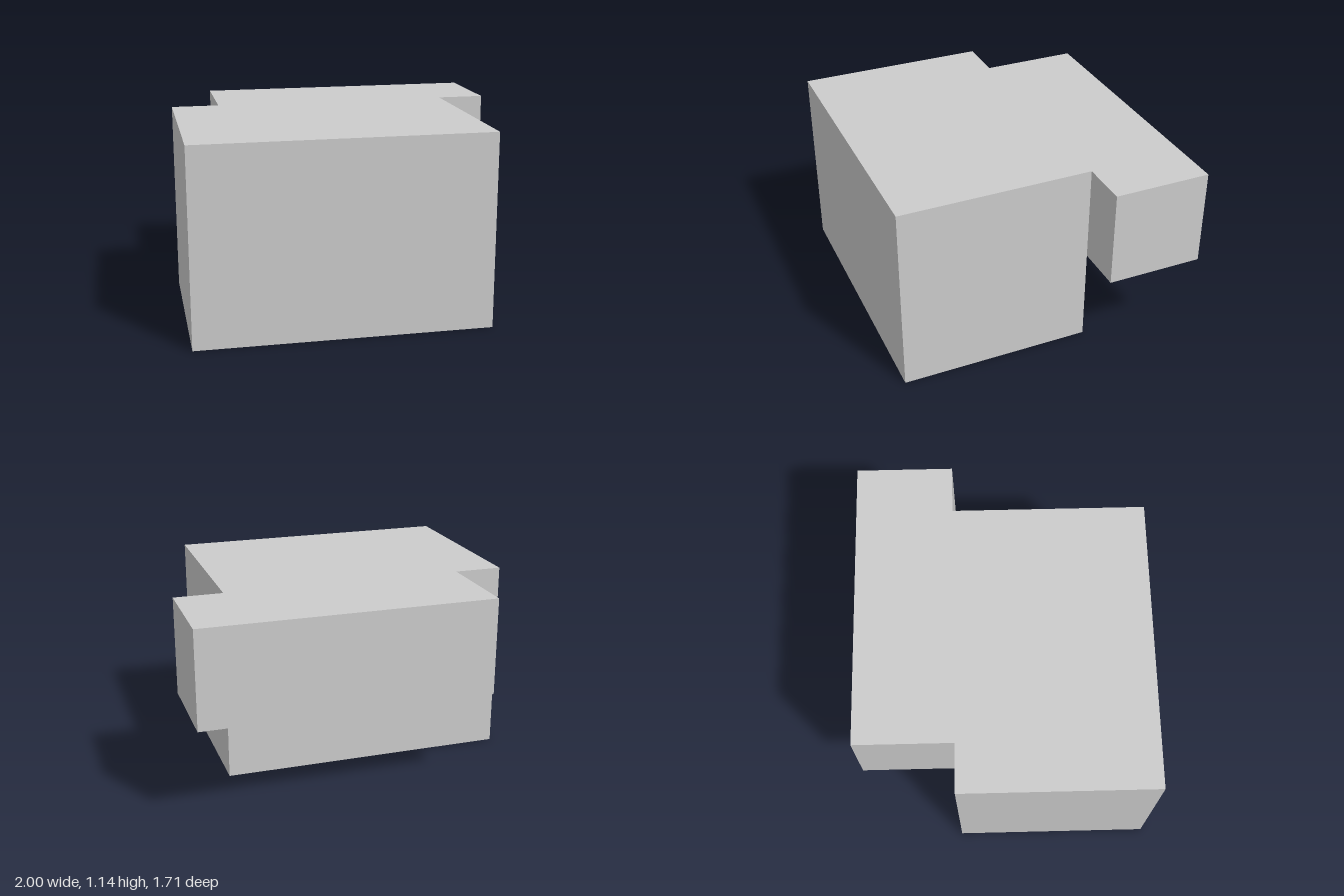
import * as THREE from 'three';

const U = 2 / 7; // grid module: the model is 7 modules wide

export function createModel() {
  const group = new THREE.Group();
  group.name = 'steppedBlock';
  const material = new THREE.MeshStandardMaterial({ color: 0xcccccc, flatShading: true });

  // Box given by its minimum corner and size, in modules
  const addBlock = (name, [x, y, z], [w, h, d]) => {
    const mesh = new THREE.Mesh(new THREE.BoxGeometry(w * U, h * U, d * U), material);
    mesh.position.set(x + w / 2, y + h / 2, z + d / 2).multiplyScalar(U);
    mesh.name = name;
    group.add(mesh);
  };

  // Full-height block at the front
  addBlock('mainBlock', [-3.5, 0, -1], [6, 4, 4]);
  // Half-height block overhanging at the back, shifted to the left side
  addBlock('rearOverhang', [-2.5, 2, -3], [6, 2, 2]);

  return group;
}
